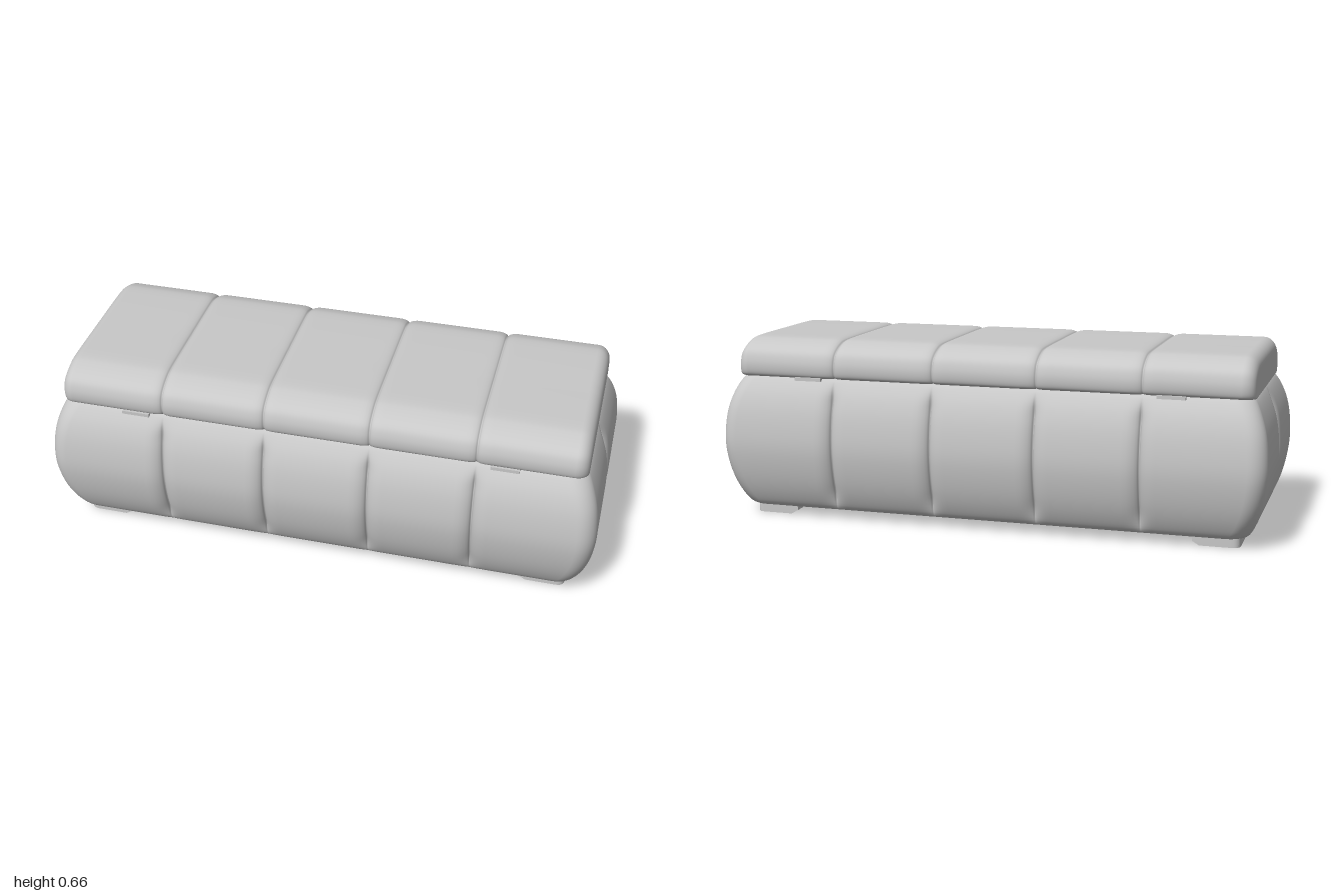
import * as THREE from 'three';

const SEAMS = [-0.565, -0.19, 0.19, 0.565];
const STEPS = [0, 0.003, 0.008, 0.016, 0.028, 0.042, 0.06];

// Round-shouldered dip beside a seam: 1 on the seam, 0 at distance w.
const dip = (d, w) => (d >= w ? 0 : 1 - Math.sqrt(1 - (1 - d / w) ** 2));
const seamDip = (v, seams, w) => Math.max(...seams.map((s) => dip(Math.abs(v - s), w)));

// Sorted sample positions between -a and a, dense around the seams.
function samples(a, seams) {
  const out = [-a, a];
  for (const s of seams) for (const d of STEPS) out.push(s + d, ...(d ? [s - d] : []));
  for (let i = 0; i < seams.length - 1; i++) out.push((seams[i] + seams[i + 1]) / 2);
  return out.sort((p, q) => p - q);
}

// Closed skin through equal-length rings, with fan caps at both ends.
function loft(rings) {
  const n = rings[0].length, pos = [], idx = [];
  for (const ring of rings) for (const p of ring) pos.push(p.x, p.y, p.z);
  for (let j = 0; j < rings.length - 1; j++) {
    for (let i = 0; i < n; i++) {
      const a = j * n + i, b = j * n + ((i + 1) % n);
      idx.push(a, b, b + n, a, b + n, a + n);
    }
  }
  for (const [ring, flip] of [[rings[0], true], [rings[rings.length - 1], false]]) {
    const start = pos.length / 3, c = new THREE.Vector3();
    for (const p of ring) { pos.push(p.x, p.y, p.z); c.addScaledVector(p, 1 / n); }
    pos.push(c.x, c.y, c.z);
    for (let i = 0; i < n; i++) {
      const a = start + i, b = start + ((i + 1) % n);
      idx.push(start + n, flip ? b : a, flip ? a : b);
    }
  }
  const g = new THREE.BufferGeometry();
  g.setAttribute('position', new THREE.Float32BufferAttribute(pos, 3));
  g.setIndex(idx);
  g.computeVertexNormals();
  return g;
}

// Bulging padded body: rounded rectangles stacked in y, pinched at the seams.
function bodyGeometry() {
  // half width, height, half depth
  const profile = new THREE.CatmullRomCurve3([
    [0.9, 0.03, 0.305], [0.93, 0.04, 0.338], [0.955, 0.08, 0.365], [0.98, 0.15, 0.392],
    [0.996, 0.24, 0.41], [0.998, 0.31, 0.412], [0.988, 0.4, 0.4], [0.968, 0.465, 0.378],
    [0.945, 0.51, 0.35], [0.93, 0.525, 0.335],
  ].map((p) => new THREE.Vector3(...p)));
  const rings = profile.getPoints(36).map(({ x: hx, y, z: hz }) => {
    const r = 0.065;
    const fade = THREE.MathUtils.smoothstep(y, 0.025, 0.12) * (1 - THREE.MathUtils.smoothstep(y, 0.43, 0.52));
    const half = [];
    for (const x of samples(hx - r, SEAMS))
      half.push(new THREE.Vector3(x, y, hz - 0.035 * fade * seamDip(x, SEAMS, 0.06)));
    const corner = (sz) => {
      for (let k = 1; k < 8; k++) {
        const a = (k / 8) * Math.PI / 2, s = Math.sin(a), c = Math.cos(a);
        half.push(sz > 0
          ? new THREE.Vector3(hx - r + r * s, y, hz - r + r * c)
          : new THREE.Vector3(hx - r + r * c, y, -(hz - r) - r * s));
      }
    };
    corner(1);
    for (const z of samples(hz - r, [0]))
      half.push(new THREE.Vector3(hx - 0.022 * fade * seamDip(z, [0], 0.04), y, -z));
    corner(-1);
    return [...half, ...half.map((p) => new THREE.Vector3(-p.x, y, -p.z))];
  });
  return loft(rings);
}

// Cushioned lid: a pillow section swept along x, shrinking at seams and ends.
function lidGeometry() {
  const L = 0.945, R = 0.045, Y0 = 0.52;
  const half = new THREE.SplineCurve([
    [0.335, 0.52], [0.352, 0.528], [0.359, 0.55], [0.358, 0.58], [0.346, 0.612], [0.318, 0.634],
    [0.28, 0.65], [0.24, 0.658], [0.15, 0.66], [0.02, 0.66],
  ].map((p) => new THREE.Vector2(...p))).getPoints(36);
  const xs = samples(L - R, SEAMS);
  for (let k = 1; k <= 8; k++) {
    const t = R * Math.sin((k / 8) * Math.PI / 2);
    xs.push(L - R + t);
    xs.unshift(-(L - R + t));
  }
  return loft(xs.map((x) => {
    const e = R * dip(L - Math.abs(x), R) + 0.014 * seamDip(x, SEAMS, 0.035);
    const at = (p, s) => new THREE.Vector3(x, Y0 + (p.y - Y0) * (1 - e / 0.14), s * p.x * (1 - e / 0.36));
    return [...half.map((p) => at(p, -1)), ...half.map((p) => at(p, 1)).reverse()];
  }));
}

// L-shaped corner foot with undercut arm ends; outer corner at the origin.
function footGeometry() {
  const s = new THREE.Shape();
  const lx = 0.165, lz = 0.2, w = 0.045, r = 0.03;
  s.moveTo(-r, 0);
  s.quadraticCurveTo(0, 0, 0, -r);
  s.lineTo(0, -lz);
  s.lineTo(-w, -lz);
  s.lineTo(-w - 0.01, -w - 0.015);
  s.lineTo(-w - 0.025, -w);
  s.lineTo(-lx, -w);
  s.lineTo(-lx, 0);
  s.closePath();
  const g = new THREE.ExtrudeGeometry(s, { depth: 0.045, steps: 3, bevelEnabled: false });
  const p = g.attributes.position;
  for (let i = 0; i < p.count; i++) {
    if (p.getZ(i) > 0.04) {
      if (p.getX(i) < -lx + 0.01) p.setX(i, -lx + 0.025);
      if (p.getY(i) < -lz + 0.01) p.setY(i, -lz + 0.025);
    }
  }
  g.rotateX(Math.PI / 2);
  g.translate(0, 0.045, 0);
  g.computeVertexNormals();
  return g;
}

export function createModel() {
  const group = new THREE.Group();
  const upholstery = new THREE.MeshStandardMaterial({ color: 0xc8c8c8, side: THREE.DoubleSide });
  upholstery.name = 'light grey upholstery';
  const add = (name, geometry) => {
    const m = new THREE.Mesh(geometry, upholstery);
    m.name = name;
    group.add(m);
    return m;
  };

  add('paddedBody', bodyGeometry());
  add('cushionLid', lidGeometry());

  // Four corner feet and the small tabs below the lid
  const foot = footGeometry();
  const tab = new THREE.BoxGeometry(0.1, 0.012, 0.03);
  for (const sx of [1, -1]) {
    for (const sz of [1, -1]) {
      const f = add('cornerFoot', foot);
      f.position.set(sx * 0.905, 0, sz * 0.31);
      f.scale.set(sx, 1, sz);
      add('lidTab', tab).position.set(sx * 0.665, 0.519, sz * 0.343);
    }
  }
  return group;
}
